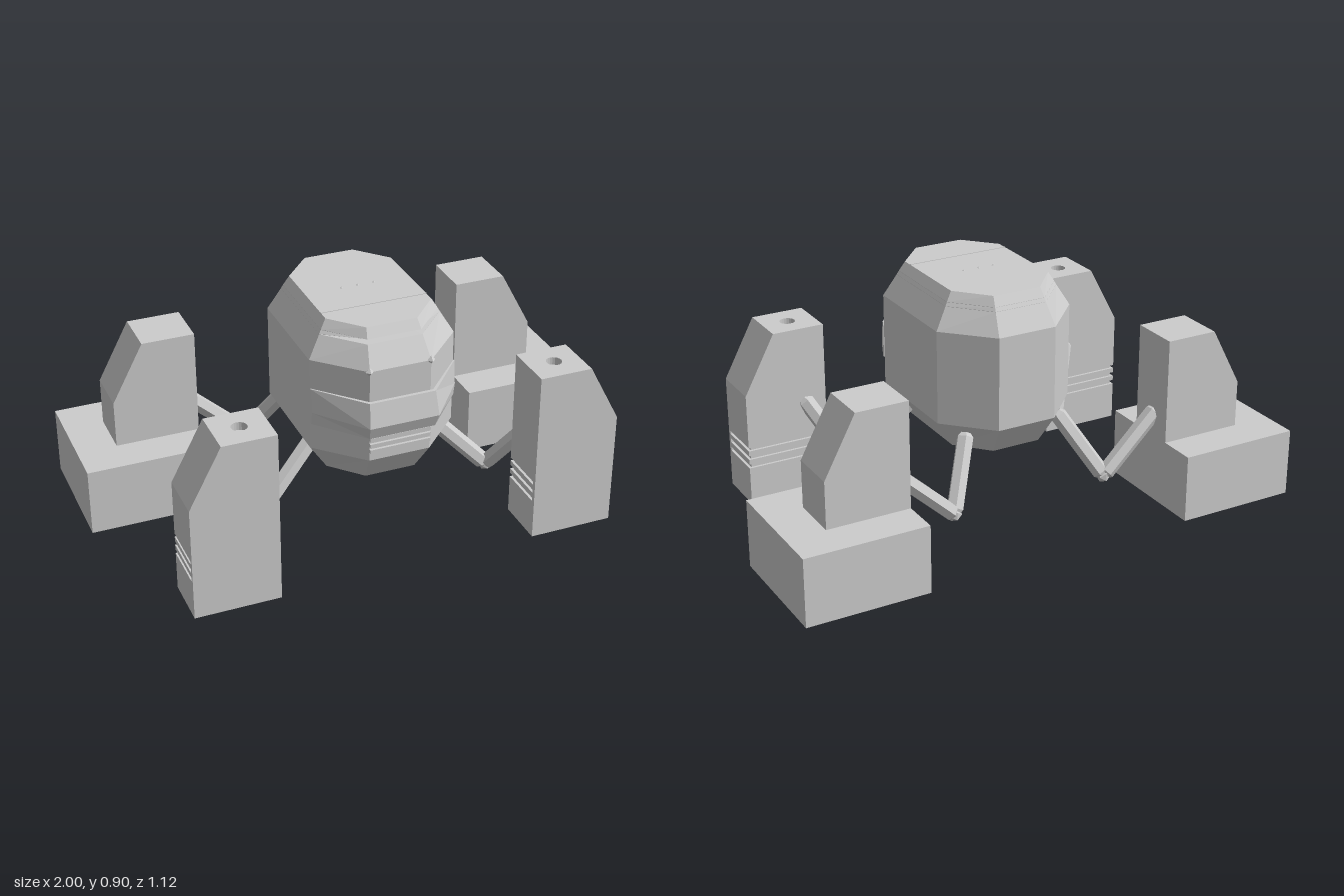
import * as THREE from 'three';

const mat = new THREE.MeshStandardMaterial({ color: 0xcccccc, flatShading: true });
const V = (x, y, z) => new THREE.Vector3(x, y, z);

function add(parent, name, geo, x = 0, y = 0, z = 0) {
  const m = new THREE.Mesh(geo, mat);
  m.name = name;
  m.position.set(x, y, z);
  parent.add(m);
  return m;
}

// box given by its minimum and maximum corners
function block(parent, name, a, b) {
  const g = new THREE.BoxGeometry(b[0] - a[0], b[1] - a[1], b[2] - a[2]);
  return add(parent, name, g, (a[0] + b[0]) / 2, (a[1] + b[1]) / 2, (a[2] + b[2]) / 2);
}

// faceted skin through rings of points, closed at both ends
function loft(rings) {
  const p = [];
  const tri = (...pts) => pts.forEach(v => p.push(v.x, v.y, v.z));
  const n = rings[0].length;
  for (let i = 0; i < rings.length - 1; i++) {
    for (let j = 0; j < n; j++) {
      const k = (j + 1) % n;
      const a = rings[i][j], b = rings[i][k], c = rings[i + 1][k], d = rings[i + 1][j];
      tri(a, b, c);
      tri(a, c, d);
    }
  }
  const first = rings[0], last = rings[rings.length - 1];
  for (let j = 1; j < n - 1; j++) {
    tri(first[0], first[j + 1], first[j]);
    tri(last[0], last[j], last[j + 1]);
  }
  const g = new THREE.BufferGeometry();
  g.setAttribute('position', new THREE.Float32BufferAttribute(p, 3));
  g.computeVertexNormals();
  return g;
}

// outline in x and y, pushed along z from z0 to z1
function prism(points, z0, z1) {
  const s = new THREE.Shape(points.map(([x, y]) => new THREE.Vector2(x, y)));
  return new THREE.ExtrudeGeometry(s, { depth: z1 - z0, bevelEnabled: false }).translate(0, 0, z0);
}

// six-sided rod between two points, with tapered ends
function rod(parent, name, a, b, r) {
  const len = a.distanceTo(b), t = r * 0.5;
  const profile = [[0, 0], [r * 0.6, 0], [r, t], [r, len - t], [r * 0.6, len], [0, len]];
  const g = new THREE.LatheGeometry(profile.map(([x, y]) => new THREE.Vector2(x, y)), 6);
  const m = add(parent, name, g, a.x, a.y, a.z);
  m.quaternion.setFromUnitVectors(V(0, 1, 0), b.clone().sub(a).normalize());
}

// eight-cornered body outline; t = 0 is the full size, t = 1 the small end
function bodyRing(y, t, inset = 0) {
  const hx = 0.275 - 0.075 * t, cx = 0.115 - 0.02 * t;
  const f = 0.445 - 0.08 * t, fc = 0.285 - 0.035 * t;
  const b = -0.3 + 0.077 * t, bc = -0.135 + 0.03 * t;
  return [
    V(cx - inset * 0.4, y, f - inset), V(hx, y, fc), V(hx, y, bc), V(cx, y, b),
    V(-cx, y, b), V(-hx, y, bc), V(-hx, y, fc), V(-cx + inset * 0.4, y, f - inset)
  ];
}

function makeBody() {
  const body = new THREE.Group();
  body.name = 'body';
  // the brow slot is cut into the front faces only
  add(body, 'shell', loft([
    bodyRing(0.295, 1), bodyRing(0.41, 0), bodyRing(0.765, 0),
    bodyRing(0.845, 0.62), bodyRing(0.846, 0.62, 0.035), bodyRing(0.859, 0.72, 0.035),
    bodyRing(0.86, 0.72), bodyRing(0.895, 1)
  ]));
  // face band standing slightly off the front
  const section = [[0.655, 0.012], [0.655, 0.025], [0.565, 0.045], [0.515, 0.025], [0.515, 0.012]];
  const path = [[-0.275, 0.285, 0, 0.5], [-0.115, 0.445, -0.35, 1], [0.115, 0.445, 0.35, 1], [0.275, 0.285, 0, 0.5]];
  add(body, 'faceBand', loft(path.map(([x, z, dx, dz]) =>
    section.map(([y, d]) => V(x + dx * d, y, z + dz * d)))));
  // mouth slats
  for (const y of [0.45, 0.473, 0.497]) {
    block(body, 'mouthSlat', [-0.115, y - 0.007, 0.43], [0.115, y + 0.007, 0.455]);
  }
  for (const s of [-1, 1]) {
    add(body, 'eye', new THREE.OctahedronGeometry(0.016), s * 0.115, 0.765, 0.443);
  }
  for (const x of [-0.062, 0, 0.062]) {
    add(body, 'topStud', new THREE.OctahedronGeometry(0.014), x, 0.887, 0.055);
  }
  block(body, 'topSeam', [-0.2, 0.885, 0.205], [0.2, 0.897, 0.211]);
  return body;
}

// front foot: tall pillar with a chamfered outer shoulder
function frontPillar(s) {
  const g = new THREE.Group();
  g.name = 'frontPillar';
  const X = pts => pts.map(([x, y]) => [s * x, y]);
  const z0 = 0.36, z1 = 0.555, zs = 0.54;
  const span = (name, y0, y1, d) => {
    const a = s > 0 ? 0.49 : -0.81, b = s > 0 ? 0.81 : -0.49;
    block(g, name, [a + d, y0, z0 + d], [b - d, y1, zs]);
  };
  // front plate, then layers with grooves behind it
  add(g, 'pillarFront', prism(X([[0.49, 0], [0.81, 0], [0.81, 0.44], [0.706, 0.635], [0.49, 0.635]]), zs, z1));
  add(g, 'pillarUpper', prism(X([[0.49, 0.23], [0.81, 0.23], [0.81, 0.44], [0.706, 0.635], [0.49, 0.635]]), z0, zs));
  const levels = [0, 0.147, 0.163, 0.182, 0.198, 0.217, 0.23];
  for (let i = 0; i < levels.length - 1; i++) {
    span(i % 2 ? 'pillarGroove' : 'pillarLayer', levels[i], levels[i + 1], i % 2 ? 0.01 : 0);
  }
  // top cap with a round socket
  const cap = new THREE.Shape([[0.49, -z0], [0.69, -z0], [0.69, -z1], [0.49, -z1]]
    .map(([x, y]) => new THREE.Vector2(s * x, y)));
  cap.holes.push(new THREE.Path().absarc(s * 0.592, -0.455, 0.029, 0, Math.PI * 2));
  const capGeo = new THREE.ExtrudeGeometry(cap, { depth: 0.03, bevelEnabled: false, curveSegments: 10 });
  add(g, 'pillarCap', capGeo.rotateX(-Math.PI / 2), 0, 0.635, 0);
  add(g, 'pillarCapEdge', prism(X([[0.69, 0.635], [0.706, 0.635], [0.69, 0.665]]), z0, z1));
  return g;
}

// rear foot: broad base with a chamfered tower
function rearFoot(s) {
  const g = new THREE.Group();
  g.name = 'rearFoot';
  add(g, 'rearBase', new THREE.BoxGeometry(0.47, 0.26, 0.48), s * 0.765, 0.13, -0.32);
  const tower = [[0.53, 0.26], [0.85, 0.26], [0.85, 0.44], [0.73, 0.665], [0.53, 0.665]];
  add(g, 'rearTower', prism(tower.map(([x, y]) => [s * x, y]), -0.415, -0.225));
  return g;
}

function leg(name, s, hip, elbow, end) {
  const g = new THREE.Group();
  g.name = name;
  const [a, b, c] = [hip, elbow, end].map(([x, y, z]) => V(s * x, y, z));
  rod(g, 'upperLeg', a, b, 0.032);
  rod(g, 'lowerLeg', b, c, 0.032);
  add(g, 'knee', new THREE.IcosahedronGeometry(0.028), b.x, b.y, b.z);
  return g;
}

export function createModel() {
  const model = new THREE.Group();
  model.name = 'fourLeggedRobot';
  model.add(makeBody());
  for (const s of [-1, 1]) {
    model.add(
      frontPillar(s),
      rearFoot(s),
      leg('frontLeg', s, [0.22, 0.38, 0.17], [0.45, 0.143, 0.232], [0.575, 0.38, 0.375]),
      leg('rearLeg', s, [0.19, 0.375, -0.19], [0.315, 0.143, -0.33], [0.55, 0.36, -0.32])
    );
  }
  return model;
}
